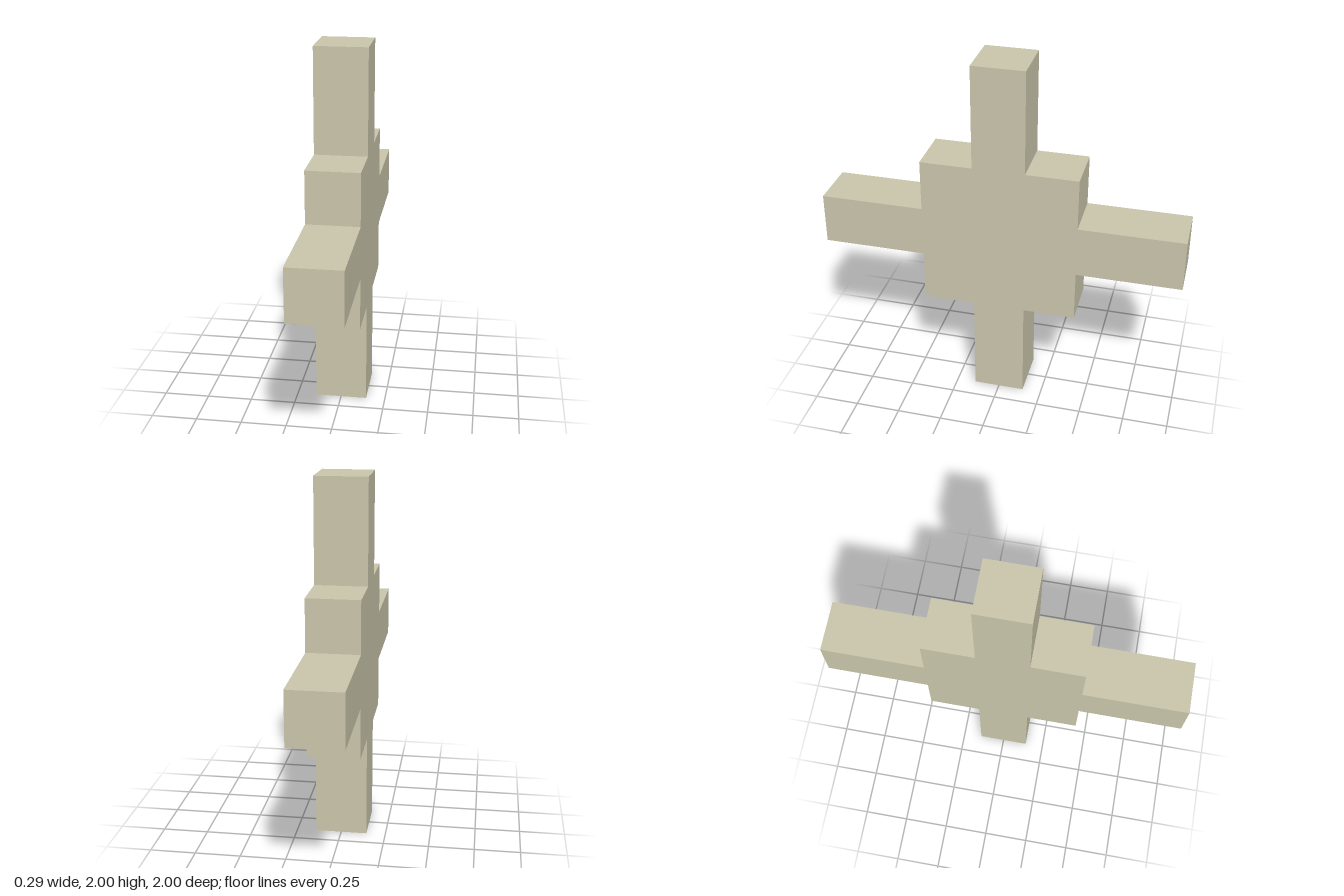
import * as THREE from 'three';

export function createModel() {
  const group = new THREE.Group();
  group.name = 'steppedCross';

  const stone = new THREE.MeshStandardMaterial({ color: 0xcac6ac });
  stone.name = 'pale stone';

  // The model sits on a seven-cell grid: bar half-width, core half-width, arm reach
  const a = 1 / 7, b = 3 / 7, r = 1;

  // One quadrant of the outline, turned four times around the centre
  const quadrant = [[r, -a], [r, a], [b, a], [b, b], [a, b]];
  const points = [];
  for (let i = 0; i < 4; i++) {
    const c = [1, 0, -1, 0][i], s = [0, 1, 0, -1][i];
    for (const [x, y] of quadrant) {
      points.push(new THREE.Vector2(x * c - y * s, x * s + y * c));
    }
  }

  // Square core with four arms, extruded one cell thick along x
  const geometry = new THREE.ExtrudeGeometry(new THREE.Shape(points), {
    depth: 2 * a,
    bevelEnabled: false,
  });
  geometry.translate(0, 0, -a).rotateY(Math.PI / 2).translate(0, 1, 0);

  const cross = new THREE.Mesh(geometry, stone);
  cross.name = 'crossBody';
  group.add(cross);
  return group;
}
